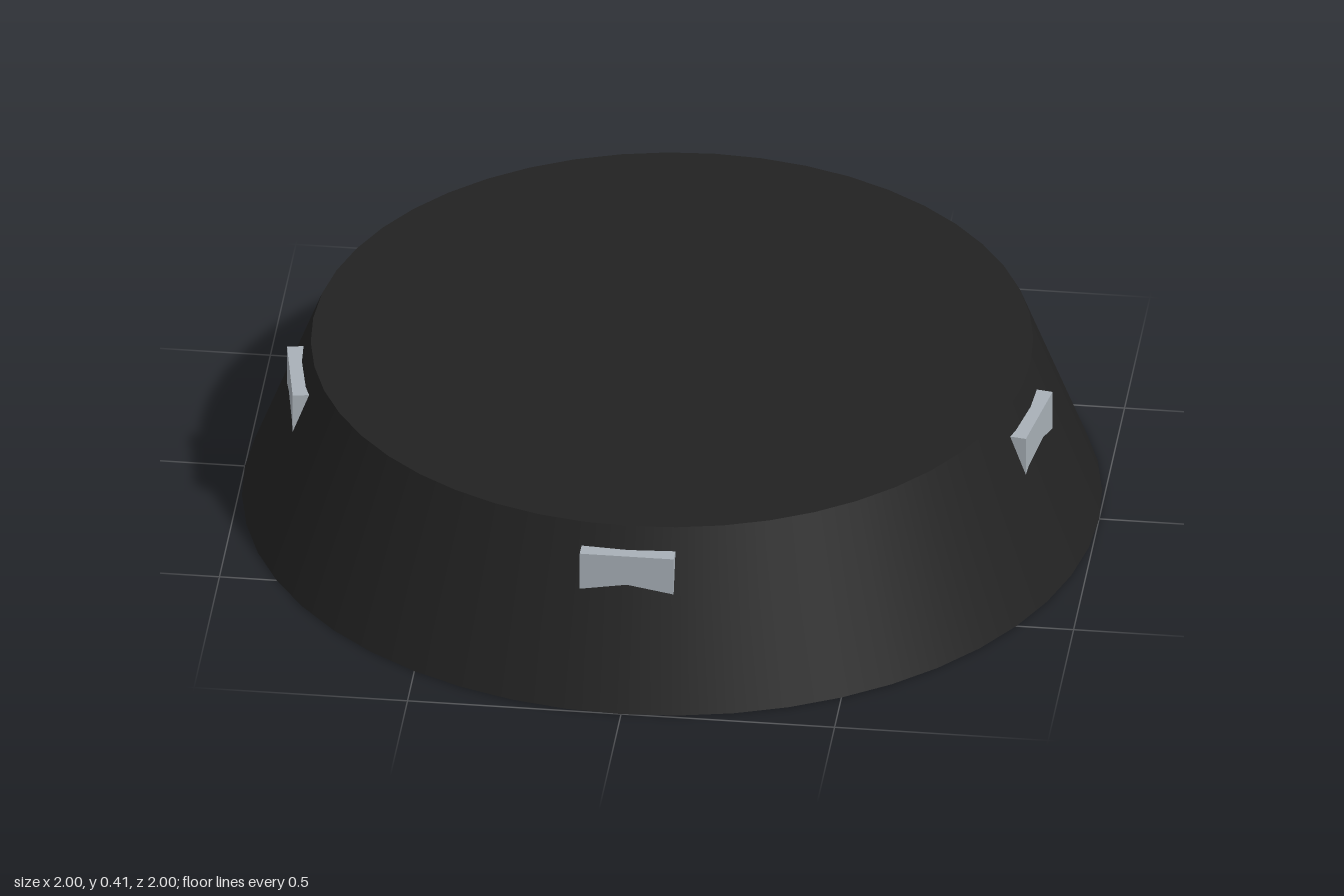
import * as THREE from 'three';

export function createModel() {
  const model = new THREE.Group();
  const black = new THREE.MeshStandardMaterial({ color: 0x222222 });
  black.name = 'matte black';
  const grey = new THREE.MeshStandardMaterial({ color: 0xa8b0b7 });
  grey.name = 'light grey';

  // Solid tapered base
  const height = 0.415;
  const body = new THREE.Mesh(new THREE.CylinderGeometry(0.84, 1, height, 48), black);
  body.name = 'taperedBody';
  body.position.y = height / 2;
  model.add(body);

  // Four small blocks set into the sloping wall, at slightly uneven angles
  const block = new THREE.BoxGeometry(0.22, 0.1, 0.06);
  const names = ['frontBlock', 'leftBlock', 'backBlock', 'rightBlock'];
  [0, 80.4, 171.7, -79.8].forEach((degrees, i) => {
    const angle = THREE.MathUtils.degToRad(degrees);
    const mesh = new THREE.Mesh(block, grey);
    mesh.name = names[i];
    mesh.position.set(0.86 * Math.sin(angle), 0.312, 0.86 * Math.cos(angle));
    mesh.rotation.y = angle;
    model.add(mesh);
  });

  return model;
}
